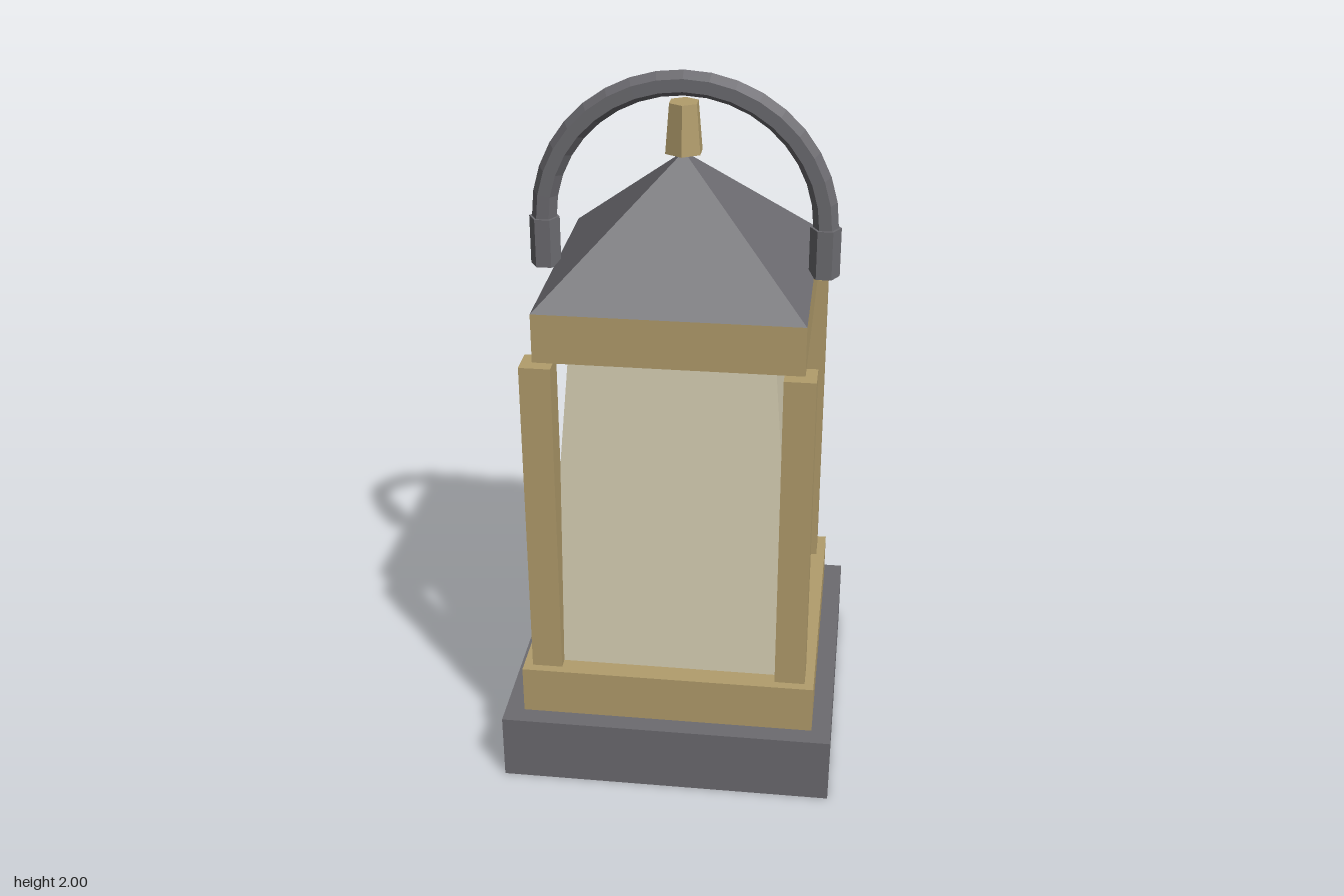
import * as THREE from 'three';

const mat = (name, color) => {
  const m = new THREE.MeshStandardMaterial({ color, flatShading: true });
  m.name = name;
  return m;
};

export function createModel() {
  const iron = mat('dark iron', 0x6c6b70);
  const brass = mat('brass', 0xb29d6c);
  const glass = mat('cream glass', 0xd3cbb0);

  const lantern = new THREE.Group();
  lantern.name = 'lantern';

  const add = (name, geometry, material, x, y, z) => {
    const mesh = new THREE.Mesh(geometry, material);
    mesh.name = name;
    mesh.position.set(x, y, z);
    lantern.add(mesh);
    return mesh;
  };

  // Square slab, given by half width and height range
  const slab = (name, half, y0, y1, material, x = 0, z = 0) =>
    add(name, new THREE.BoxGeometry(half * 2, y1 - y0, half * 2), material, x, (y0 + y1) / 2, z);

  // Four-sided taper with faces square to the axes
  const taper = (name, top, bottom, y0, y1, material) => {
    const g = new THREE.CylinderGeometry(top * Math.SQRT2, bottom * Math.SQRT2, y1 - y0, 4);
    g.rotateY(Math.PI / 4);
    return add(name, g, material, 0, (y0 + y1) / 2, 0);
  };

  // Base and frames
  slab('base', 0.475, 0, 0.197, iron);
  slab('lowerFrame', 0.42, 0.197, 0.34, brass);
  slab('upperFrame', 0.363, 1.297, 1.436, brass);

  // Corner posts
  for (const x of [-1, 1])
    for (const z of [-1, 1])
      slab('cornerPost', 0.043, 0.34, 1.294, brass, x * 0.351, z * 0.351);

  // Glass body, roof and finial
  taper('glassBody', 0.28, 0.36, 0.34, 1.297, glass);
  taper('roof', 0, 0.363, 1.436, 1.777, iron);
  add('finial', new THREE.CylinderGeometry(0.043, 0.055, 0.138, 6), brass, 0, 1.845, 0);

  // Arched handle with a hexagonal sleeve at each end
  add('handle', new THREE.TorusGeometry(0.39, 0.035, 6, 18, Math.PI), iron, 0, 1.575, 0);
  for (const side of [-1, 1]) {
    const sleeve = add('handleSleeve', new THREE.CylinderGeometry(0.043, 0.043, 0.14, 6), iron, side * 0.39, 1.506, 0);
    sleeve.rotation.y = Math.PI / 2;
  }

  return lantern;
}
